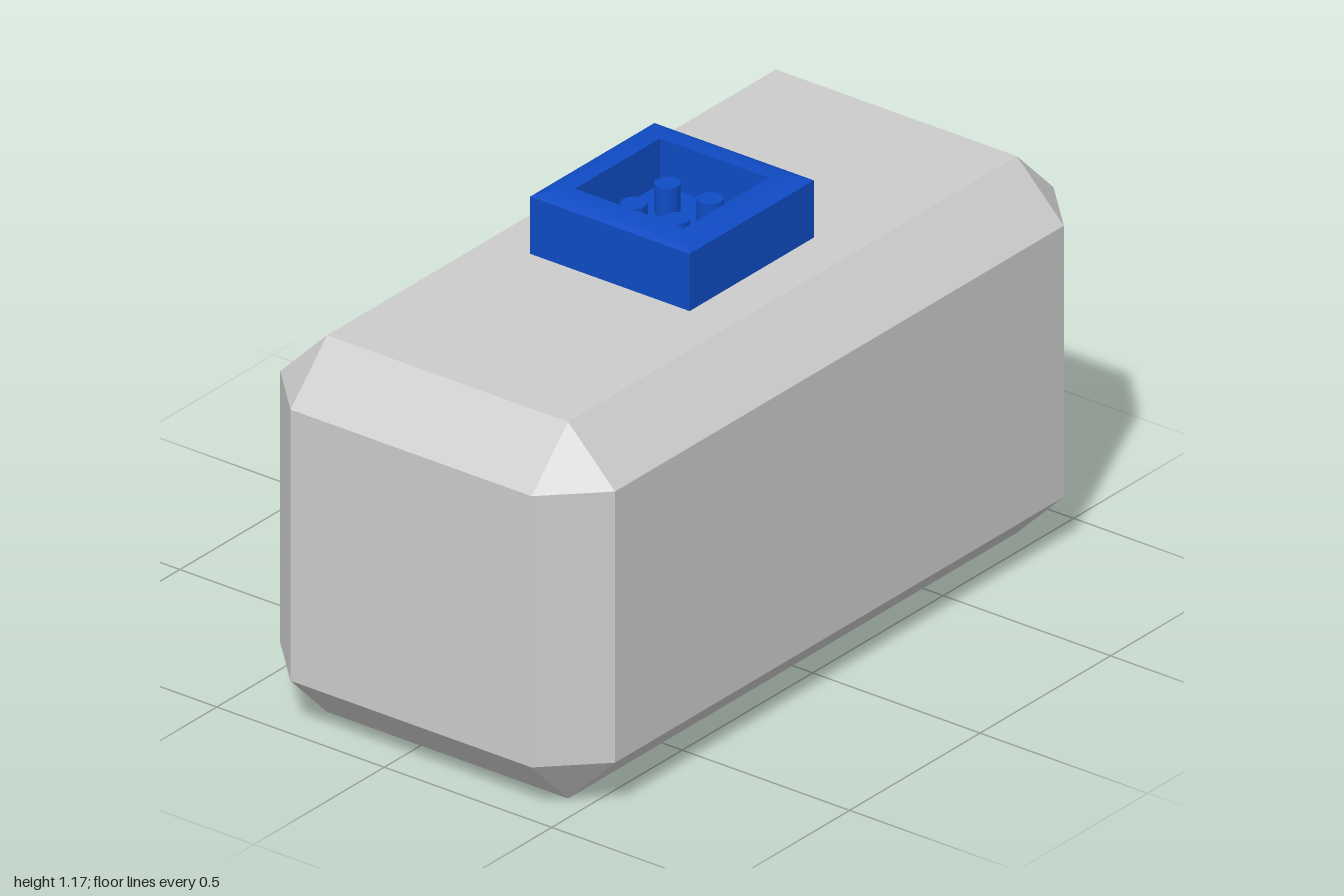
import * as THREE from 'three';
import { toCreasedNormals } from 'three/addons/utils/BufferGeometryUtils.js';
import { ConvexGeometry } from 'three/addons/geometries/ConvexGeometry.js';

const grey = new THREE.MeshStandardMaterial({ color: 0xcccccc, flatShading: true });
const blue = new THREE.MeshStandardMaterial({ color: 0x0f4bc4 });

// Box with every edge cut at 45 degrees and triangular corners
function chamferedBox(w, h, d, c) {
  const points = [];
  for (const sx of [-1, 1]) for (const sy of [-1, 1]) for (const sz of [-1, 1]) {
    for (let axis = 0; axis < 3; axis++) {
      const [ix, iy, iz] = [0, 1, 2].map((i) => (i === axis ? 0 : c));
      points.push(new THREE.Vector3(sx * (w / 2 - ix), sy * (h / 2 - iy), sz * (d / 2 - iz)));
    }
  }
  return new ConvexGeometry(points);
}

function add(parent, name, geometry, material, x, y, z) {
  const mesh = new THREE.Mesh(geometry, material);
  mesh.name = name;
  mesh.position.set(x, y, z);
  parent.add(mesh);
  return mesh;
}

export function createModel() {
  const model = new THREE.Group();
  model.name = 'model';

  // Main body
  add(model, 'body', chamferedBox(2, 1, 1, 0.14), grey, 0, 0.5, 0.08);

  // Tapered block on the back
  const block = [];
  for (const sx of [-1, 1]) for (const sy of [-1, 1]) {
    block.push(new THREE.Vector3(sx * 0.445, sy * 0.187, 0.08));
    block.push(new THREE.Vector3(sx * 0.35, sy * 0.147, -0.08));
  }
  add(model, 'backBlock', new ConvexGeometry(block), grey, 0, 0.501, -0.5);

  // Square socket: a four-sided lathe with a sloped rim and a recess
  const socket = new THREE.Group();
  socket.name = 'socket';
  socket.position.set(0, 1, 0.08);
  model.add(socket);
  const profile = [
    [0, 0], [0.238, 0], [0.238, 0.152], [0.203, 0.166],
    [0.163, 0.166], [0.163, 0.045], [0, 0.045],
  ].map(([r, y]) => new THREE.Vector2(r * Math.SQRT2, y));
  const shell = new THREE.LatheGeometry(profile, 4, Math.PI / 4);
  add(socket, 'socketShell', toCreasedNormals(shell, 0.5), blue, 0, 0, 0);

  // Four contact pins inside the recess
  const pin = new THREE.CylinderGeometry(0.032, 0.032, 0.08, 16);
  for (const x of [-0.064, 0.064]) for (const z of [-0.064, 0.064]) {
    add(socket, 'contactPin', pin, blue, x, 0.08, z);
  }

  return model;
}
